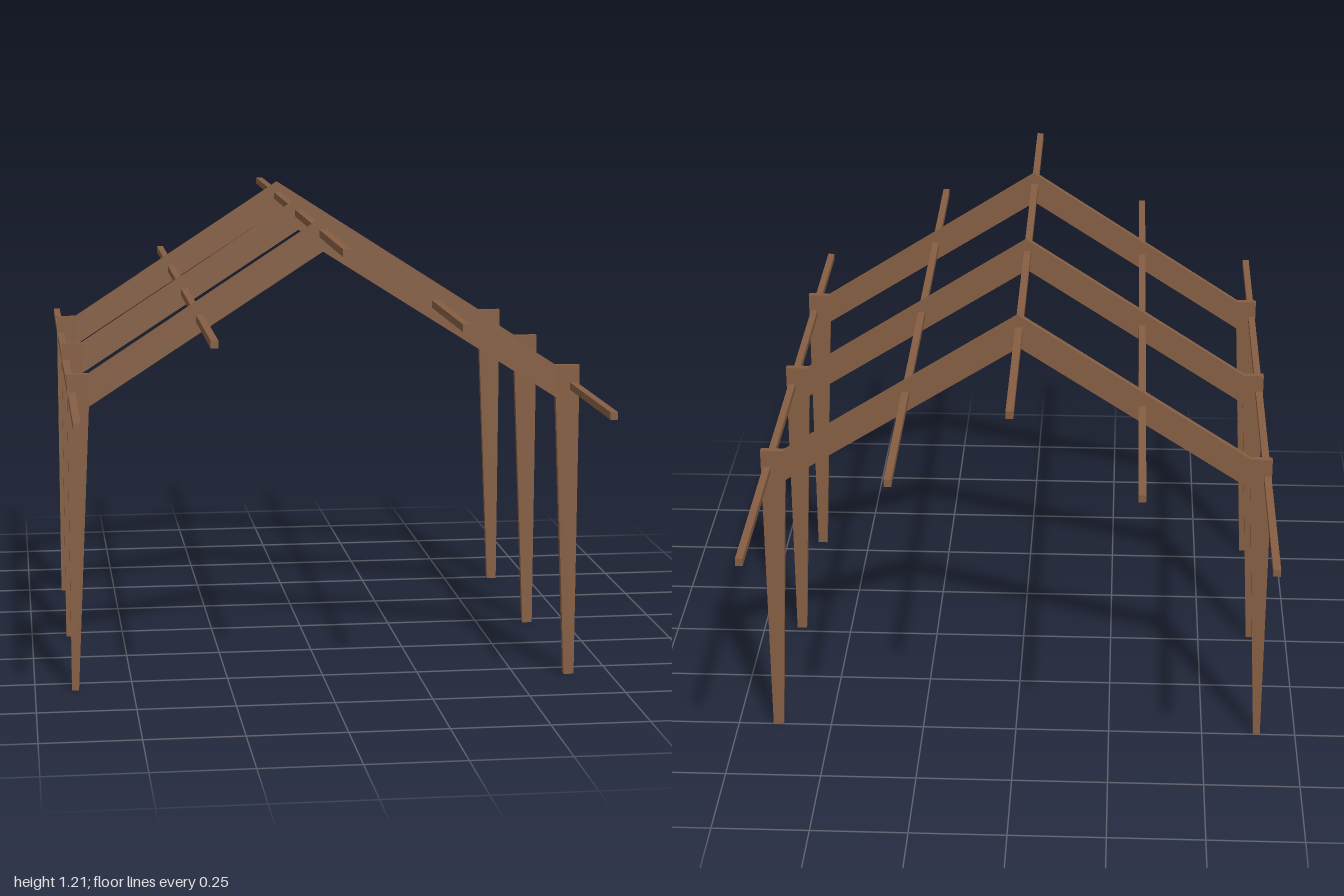
import * as THREE from 'three';

export function createModel() {
  const model = new THREE.Group();
  model.name = 'timberPortalFrame';

  const wood = new THREE.MeshStandardMaterial({ color: 0x855e42 });
  wood.name = 'brown wood';

  const thickness = 0.018;

  // Portal frame outline: tapered posts, flat post heads and sloping rafters
  const outline = new THREE.Shape([
    [-0.656, 0], [-0.638, 0], [-0.602, 0.738], [-0.009, 1.122],
    [0.595, 0.738], [0.629, 0], [0.656, 0], [0.656, 0.821],
    [0.595, 0.821], [-0.009, 1.208], [-0.602, 0.821], [-0.656, 0.821],
  ].map(([x, y]) => new THREE.Vector2(x, y)));
  const frameGeometry = new THREE.ExtrudeGeometry(outline, { depth: thickness, bevelEnabled: false });
  frameGeometry.translate(0, 0, -thickness / 2);

  // Three identical frames, front to back
  [0.556, 0.03, -0.493].forEach((z, i) => {
    const frame = new THREE.Mesh(frameGeometry, wood);
    frame.name = ['frontFrame', 'middleFrame', 'backFrame'][i];
    frame.position.z = z;
    model.add(frame);
  });

  // Long square beams running through the frames
  const beamGeometry = new THREE.BoxGeometry(0.0185, 0.0185, 2);
  const beams = {
    rightEaveBeam: [-0.645, 0.766],
    rightPurlin: [-0.321, 0.957],
    ridgeBeam: [-0.009, 1.168],
    leftPurlin: [0.279, 0.985],
    leftEaveBeam: [0.641, 0.766],
  };
  for (const [name, [x, y]] of Object.entries(beams)) {
    const beam = new THREE.Mesh(beamGeometry, wood);
    beam.name = name;
    beam.position.set(x, y, 0);
    model.add(beam);
  }

  return model;
}
